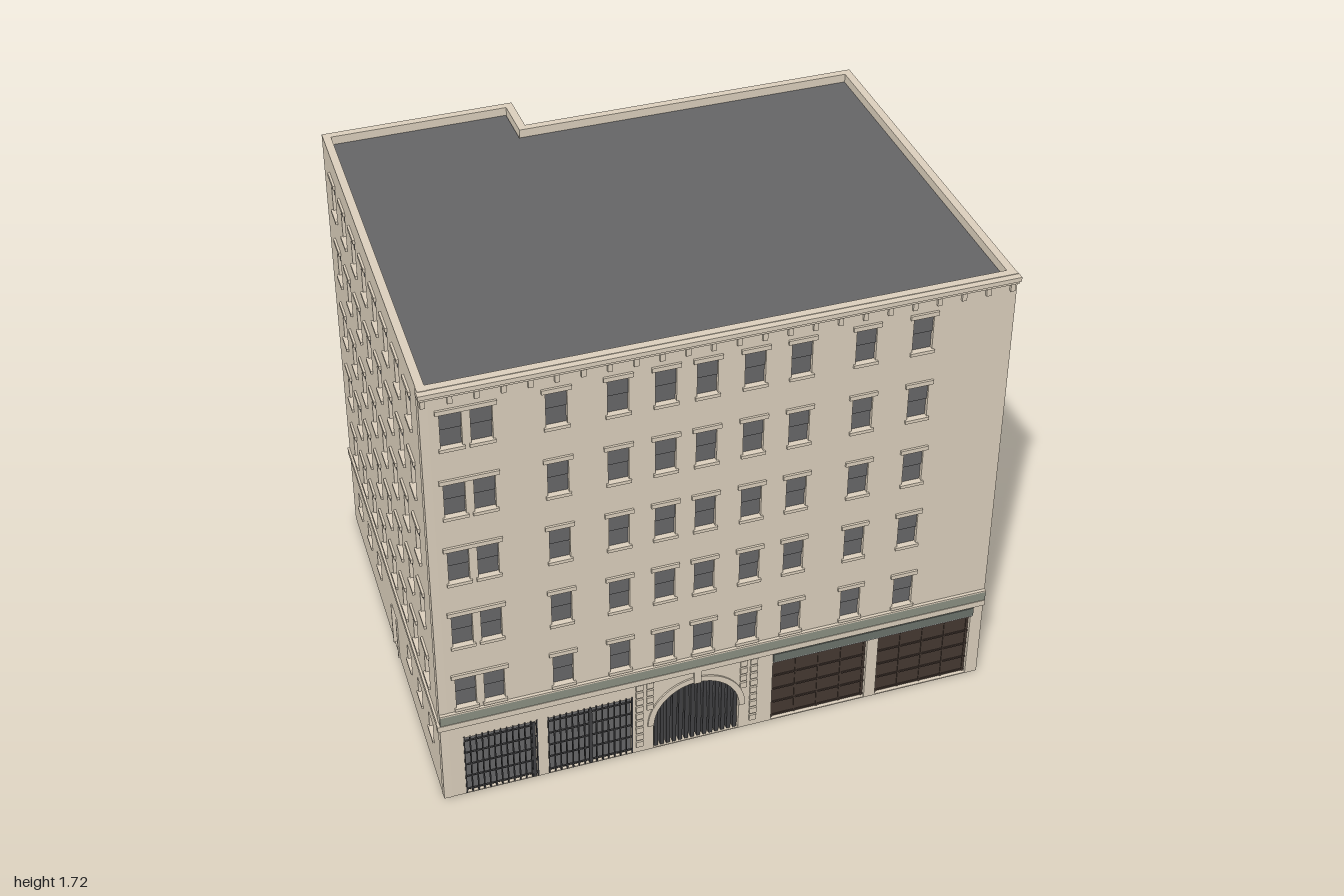
import * as THREE from 'three';

const mat = (name, color, side = THREE.FrontSide) => {
  const m = new THREE.MeshStandardMaterial({ color, side });
  m.name = name;
  return m;
};

export function createModel() {
  const M = {
    wall: mat('limestone', 0xdacebb),
    glass: mat('window grey', 0x666668),
    roof: mat('roof grey', 0x646466),
    lining: mat('interior grey', 0xc8c8c8, THREE.DoubleSide),
    iron: mat('dark iron', 0x404042),
    door: mat('brown shutter', 0x443831),
    band: mat('green grey band', 0x8a8e81),
    fascia: mat('dark green fascia', 0x6a716a),
  };
  const H = 1.72, T = 0.028, ROOF = 1.69;
  const root = new THREE.Group();
  root.name = 'building';

  // Box given by its local x, y and z ranges
  const unit = new THREE.BoxGeometry(1, 1, 1);
  const box = (parent, name, m, x0, x1, y0, y1, z0, z1) => {
    const b = new THREE.Mesh(unit, m);
    b.name = name;
    b.scale.set(x1 - x0, y1 - y0, z1 - z0);
    b.position.set((x0 + x1) / 2, (y0 + y1) / 2, (z0 + z1) / 2);
    parent.add(b);
  };
  const rect = (x0, x1, y0, y1) => new THREE.Path([[x0, y0], [x1, y0], [x1, y1], [x0, y1]]
    .map(p => new THREE.Vector2(...p)));

  // Wall from p to q: local x runs along it, local z points outward
  const frame = (name, p, q) => {
    const g = new THREE.Group();
    g.name = name;
    g.position.set(p[0], 0, p[1]);
    g.rotation.y = Math.atan2(p[1] - q[1], q[0] - p[0]);
    g.userData.length = Math.hypot(q[0] - p[0], q[1] - p[1]);
    root.add(g);
    return g;
  };
  const slab = (g, x0, x1, holes = []) => {
    const s = new THREE.Shape([[x0, 0], [x1, 0], [x1, H], [x0, H]].map(p => new THREE.Vector2(...p)));
    s.holes.push(...holes);
    const geo = new THREE.ExtrudeGeometry(s, { depth: T, bevelEnabled: false, curveSegments: 24 });
    geo.translate(0, 0, -T);
    const m = new THREE.Mesh(geo, M.wall);
    m.name = 'wallSlab';
    g.add(m);
  };

  // Sash windows on five storeys: recessed panes, lintel and sill
  const W = 0.035, WH = 0.132;
  const rows = [0, 1, 2, 3, 4].map(i => 0.405 + i * 0.271);
  const sashWindow = (g, x, y, holes) => {
    holes.push(rect(x - W, x + W, y, y + WH));
    box(g, 'upperSash', M.glass, x - W, x + W, y + WH / 2, y + WH, -0.024, -0.008);
    box(g, 'lowerSash', M.glass, x - W, x + W, y, y + WH / 2, -0.024, -0.014);
    box(g, 'lintel', M.wall, x - W - 0.014, x + W + 0.014, y + WH, y + WH + 0.016, -0.005, 0.008);
    box(g, 'sill', M.wall, x - W - 0.007, x + W + 0.007, y - 0.012, y, -0.005, 0.008);
  };
  const smallWindow = (g, x, holes) => {
    holes.push(rect(x - 0.034, x + 0.034, 0.155, 0.225));
    box(g, 'smallPane', M.glass, x - 0.034, x + 0.034, 0.155, 0.225, -0.024, -0.012);
    box(g, 'smallSill', M.wall, x - 0.042, x + 0.042, 0.145, 0.155, -0.005, 0.006);
  };
  const doorway = (g, x, holes) => {
    holes.push(rect(x - 0.04, x + 0.04, 0.004, 0.175));
    for (const s of [-1, 1]) {
      const c = x + s * 0.043;
      box(g, 'doorJamb', M.wall, c - 0.004, c + 0.004, 0, 0.18, -0.01, 0.005);
    }
  };
  const belt = g => box(g, 'beltCourse', M.wall, 0, g.userData.length, 0.322, 0.345, -0.01, 0.008);

  // Plain walls
  for (const [name, p, q] of [
    ['rightBlankWall', [0.995, 0.775], [0.995, -0.632]],
    ['rearBlankWall', [-0.232, -0.798], [-0.92, -0.798]]]) {
    const g = frame(name, p, q);
    slab(g, 0, g.userData.length);
  }

  // Walls with doors and regular windows
  const openWall = (name, p, q, xs, smallXs, doorX) => {
    const g = frame(name, p, q), holes = [];
    for (const x of xs) for (const y of rows) sashWindow(g, x, y, holes);
    for (const x of smallXs) smallWindow(g, x, holes);
    doorway(g, doorX, holes);
    slab(g, 0, g.userData.length, holes);
    belt(g);
    return g;
  };
  const back = [0, 1, 2, 3, 4, 5].map(i => 0.155 + i * 0.182);
  openWall('backWall', [0.995, -0.632], [-0.232, -0.632], back,
    [0, 1, 4, 5].map(i => back[i]), 0.61);
  openWall('stepWall', [-0.232, -0.632 + T], [-0.232, -0.798], [], [], 0.111);
  const side = [0, 1, 2, 3, 4, 5, 6, 7].map(i => 0.168 + i * 0.177);
  const west = openWall('sideWall', [-0.92, -0.798], [-0.99, 0.775], side,
    [0, 1, 2, 5, 6, 7].map(i => side[i]), 0.79);
  box(west, 'doorInnerPlate', M.glass, 0.75, 0.83, 0.004, 0.175, -0.038, -0.034);

  // Front wall, with its parts placed from the building's centre line
  const F = frame('frontWall', [0, 0.775], [1, 0.775]);
  const holes = [];
  for (const x of [-0.893, -0.795, -0.556, -0.356, -0.198, -0.06, 0.1, 0.258, 0.478, 0.675])
    for (const y of rows) sashWindow(F, x, y, holes);

  // Shopfront bays behind iron grilles
  for (const [a, b, post] of [[-0.91, -0.655, -0.667], [-0.615, -0.315, -0.465]]) {
    holes.push(rect(a, b, 0.004, 0.26));
    box(F, 'shopGlass', M.glass, a, b, 0.004, 0.26, -0.026, -0.02);
    const n = Math.round((b - a) / 0.021);
    for (let i = 0; i <= n; i++) {
      const x = a + (b - a) * i / n;
      box(F, 'grilleBar', M.iron, x - 0.002, x + 0.002, 0.004, 0.266, -0.004, 0.003);
    }
    for (const y of [0.02, 0.08, 0.135, 0.19, 0.245])
      box(F, 'grilleRail', M.iron, a, b, y - 0.002, y + 0.002, -0.004, 0.002);
    box(F, 'grillePost', M.iron, post - 0.006, post + 0.006, 0.004, 0.26, -0.006, 0.003);
  }

  // Two garage shutters with panel ribs
  for (const [a, b] of [[0.2, 0.555], [0.597, 0.95]]) {
    holes.push(rect(a, b, 0.004, 0.27));
    box(F, 'garageShutter', M.door, a, b, 0.004, 0.27, -0.026, -0.014);
    for (let i = 0; i < 5; i++) {
      const x = a + 0.004 + (b - a - 0.014) * i / 4, y = 0.008 + i * 0.062;
      if (i < 4) box(F, 'shutterRail', M.door, a, b, y, y + 0.006, -0.016, -0.01);
      box(F, 'shutterStile', M.door, x, x + 0.006, 0.004, 0.27, -0.016, -0.011);
    }
  }
  box(F, 'garageFascia', M.fascia, 0.2, 0.955, 0.282, 0.316, -0.005, 0.009);
  box(F, 'fasciaTrim', M.lining, 0.2, 0.955, 0.277, 0.282, -0.005, 0.007);

  // Arched gateway: opening, stone ring, keystone and bars
  const cx = -0.08, R = 0.157, spring = 0.113;
  const arch = new THREE.Path();
  arch.moveTo(cx - R, 0.004).lineTo(cx + R, 0.004).lineTo(cx + R, spring);
  arch.absarc(cx, spring, R, 0, Math.PI, false);
  holes.push(arch);
  const ring = new THREE.Shape();
  ring.absarc(cx, spring, R + 0.022, 0, Math.PI, false);
  ring.absarc(cx, spring, R, Math.PI, 0, true);
  const ringMesh = new THREE.Mesh(new THREE.ExtrudeGeometry(ring,
    { depth: 0.006, bevelEnabled: false, curveSegments: 24 }), M.wall);
  ringMesh.name = 'archRing';
  F.add(ringMesh);
  box(F, 'keystone', M.wall, cx - 0.013, cx + 0.013, 0.268, 0.32, -0.005, 0.01);
  for (let i = 0; i < 14; i++) {
    const x = cx + (i - 6.5) * 0.0224;
    const top = spring + Math.sqrt(R * R - (x - cx) ** 2);
    box(F, 'gateBar', M.iron, x - 0.007, x + 0.007, 0.004, top, -0.026, -0.006);
  }
  box(F, 'gateInnerPlate', M.glass, cx - R, cx + R, 0, 0.28, -0.038, -0.034);

  // Quoin blocks either side of the gateway
  for (const s of [-1, 1]) {
    for (let i = 0; i < 9; i++) {
      const y = 0.028 + i * 0.033, x = cx + s * 0.209;
      box(F, 'quoin', M.wall, x - 0.013, x + 0.013, y, y + 0.024, -0.005, 0.007);
      if (i > 4) {
        const xi = cx + s * 0.171;
        box(F, 'innerQuoin', M.wall, xi - 0.012, xi + 0.012, y, y + 0.024, -0.005, 0.007);
      }
    }
  }
  slab(F, -0.99, 0.995, holes);

  // Ledge and painted band over the ground floor
  box(F, 'frontLedge', M.wall, -1, 0.995, 0.322, 0.345, -0.01, 0.012);
  box(F, 'paintedBand', M.band, -0.99, 0.995, 0.345, 0.383, -0.005, 0.01);
  box(F, 'bandCap', M.wall, -0.99, 0.995, 0.383, 0.389, -0.005, 0.012);

  // Cornice with brackets
  box(F, 'corniceTop', M.wall, -0.995, 0.998, 1.702, H - 0.002, -0.01, 0.023);
  box(F, 'corniceStep', M.wall, -0.992, 0.996, 1.69, 1.702, -0.01, 0.015);
  for (let i = 0; i < 24; i++) {
    const x = -0.978 + i * 0.085;
    box(F, 'corniceBracket', M.wall, x - 0.008, x + 0.008, 1.66, 1.686, -0.005, 0.01);
  }

  // Roof deck, ceiling and interior lining
  const inner = [[-0.958, 0.745], [0.965, 0.745], [0.965, -0.602], [-0.262, -0.602], [-0.262, -0.768], [-0.89, -0.768]];
  const plan = new THREE.Shape(inner.map(([x, z]) => new THREE.Vector2(x, -z)));
  for (const [name, m, y] of [['roofDeck', M.roof, ROOF], ['ceiling', M.lining, ROOF - 0.01]]) {
    const d = new THREE.Mesh(new THREE.ShapeGeometry(plan), m);
    d.name = name;
    d.rotation.x = -Math.PI / 2;
    d.position.y = y;
    root.add(d);
  }
  inner.forEach((p, i) => {
    const g = frame('interiorLining', p, inner[(i + 1) % inner.length]), L = g.userData.length;
    const m = new THREE.Mesh(new THREE.PlaneGeometry(L, ROOF - 0.01), M.lining);
    m.name = 'liningPanel';
    m.position.set(L / 2, (ROOF - 0.01) / 2, 0);
    g.add(m);
  });
  return root;
}
